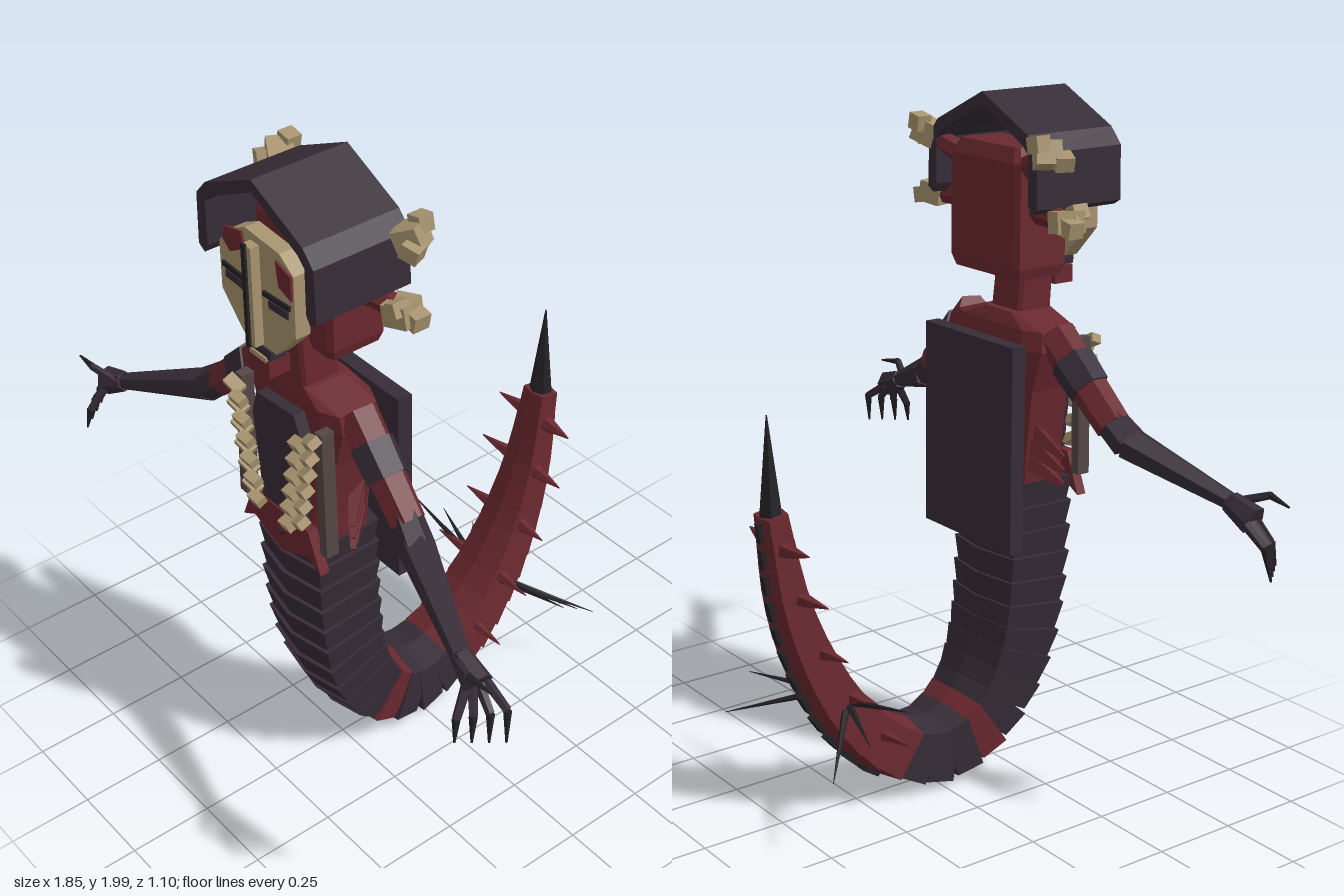
import * as THREE from 'three';

const mat = (name, color) => {
  const m = new THREE.MeshStandardMaterial({ color });
  m.name = name;
  return m;
};
const V = (x, y, z) => new THREE.Vector3(x, y, z);

export function createModel() {
  const root = new THREE.Group();
  root.name = 'serpentFigure';
  const dark = mat('darkHide', 0x372d37);
  const black = mat('blackClaw', 0x252126);
  const red = mat('darkRed', 0x6b2930);
  const bone = mat('bone', 0xa8946f);
  const strap = mat('dullBrown', 0x554746);

  // Faceted mesh helper
  const add = (name, geo, material, parent = root) => {
    const g = geo.index ? geo.toNonIndexed() : geo;
    g.computeVertexNormals();
    const m = new THREE.Mesh(g, material);
    m.name = name;
    parent.add(m);
    return m;
  };
  const box = (name, w, h, d, x, y, z, material, rz = 0, rx = 0, ry = 0) => {
    const m = add(name, new THREE.BoxGeometry(w, h, d), material);
    m.position.set(x, y, z);
    m.rotation.set(rx, ry, rz);
    return m;
  };
  // Tapered rod from a to b
  const rod = (name, a, b, r0, r1, material, sides = 6) => {
    const d = b.clone().sub(a);
    const m = add(name, new THREE.CylinderGeometry(r1, r0, d.length(), sides), material);
    m.position.copy(a).add(b).multiplyScalar(0.5);
    m.quaternion.setFromUnitVectors(V(0, 1, 0), d.normalize());
    return m;
  };
  // Flat outline in the xy plane, given thickness, back face at z
  const plate = (name, pts, z, depth, material) => {
    const s = new THREE.Shape(pts.map(p => new THREE.Vector2(p[0], p[1])));
    const m = add(name, new THREE.ExtrudeGeometry(s, { depth, bevelEnabled: false }), material);
    m.position.z = z;
    return m;
  };
  // Chamfered sections stacked upward: [y, halfWidth, zBack, zFront]
  const loft = (name, rings, material, c = 0.3) => {
    const pos = [], idx = [];
    const n = 8;
    rings.forEach(([y, w, z0, z1]) => {
      const k = 1 - c, zm = (z0 + z1) / 2, h = (z1 - z0) / 2;
      [[k, 1], [1, k], [1, -k], [k, -1], [-k, -1], [-1, -k], [-1, k], [-k, 1]]
        .forEach(([a, b]) => pos.push(a * w, y, zm + b * h));
    });
    for (let r = 0; r < rings.length - 1; r++) for (let i = 0; i < n; i++) {
      const a = r * n + i, b = r * n + (i + 1) % n;
      idx.push(a, b, a + n, b, b + n, a + n);
    }
    const t = (rings.length - 1) * n;
    for (let i = 1; i < n - 1; i++) idx.push(0, i + 1, i, t, t + i, t + i + 1);
    const g = new THREE.BufferGeometry();
    g.setAttribute('position', new THREE.Float32BufferAttribute(pos, 3));
    g.setIndex(idx);
    return add(name, g, material);
  };

  // Tail: x of each control point carries the half depth
  const path = new THREE.CatmullRomCurve3([
    [0.125, 0.9, 0.315], [0.125, 0.6, 0.305], [0.12, 0.38, 0.27], [0.108, 0.2, 0.175],
    [0.1, 0.112, 0.02], [0.09, 0.15, -0.13], [0.082, 0.27, -0.27], [0.07, 0.44, -0.38],
    [0.055, 0.66, -0.465], [0.038, 0.93, -0.513],
  ].map(p => V(...p)));
  const N = 26;
  for (let i = 0; i < N; i++) {
    const a = path.getPointAt(i / N), b = path.getPointAt((i + 1) / N);
    const mid = a.clone().add(b).multiplyScalar(0.5), d = mid.x;
    const g = new THREE.CylinderGeometry(0.93, 1.03, 1, 6);
    const p = g.attributes.position;
    for (let j = 0; j < p.count; j++) {
      const x = p.getX(j), z = p.getZ(j);
      if (Math.abs(x) > 0.1) p.setXYZ(j, x / 0.866, p.getY(j), z * 1.6);
    }
    g.scale(d * 1.08, Math.hypot(b.y - a.y, b.z - a.z) * 1.12, d);
    const isRed = mid.z < -0.12 || (mid.z > 0.06 && mid.z < 0.14);
    const seg = add('tailSegment', g, isRed ? red : dark);
    seg.position.set(0, mid.y, mid.z);
    seg.rotation.x = Math.atan2(b.z - a.z, b.y - a.y);
    // Dark keel along the outer side of the rear tail
    if (mid.z < -0.12) {
      const keel = add('tailKeel', new THREE.BoxGeometry(d * 0.4, 0.06, 0.02), black, seg);
      keel.position.z = -d;
    }
  }
  rod('tailTip', V(0, 0.91, -0.513), V(0, 1.21, -0.52), 0.037, 0.002, black);

  // Torso and neck
  loft('torso', [
    [0.86, 0.13, 0.22, 0.41], [1.0, 0.14, 0.22, 0.40], [1.18, 0.165, 0.215, 0.40],
    [1.3, 0.2, 0.22, 0.40], [1.355, 0.19, 0.23, 0.40], [1.39, 0.08, 0.25, 0.39],
  ], red);
  loft('neck', [[1.36, 0.066, 0.27, 0.39], [1.54, 0.066, 0.29, 0.4]], red, 0.15);
  plate('belly', [[-0.12, 0.88], [0, 0.83], [0.12, 0.88], [0.175, 0.85], [0.125, 0.97], [-0.125, 0.97], [-0.175, 0.85]], 0.41, 0.03, red);
  plate('chestPlate', [[-0.09, 1.31], [0.075, 1.325], [0.11, 1.24], [0.08, 0.95], [-0.08, 0.95], [-0.11, 1.24]], 0.40, 0.035, dark);
  box('backPlate', 0.4, 0.6, 0.045, 0, 1.03, 0.167, dark);

  // Head and hood
  loft('head', [[1.5, 0.145, 0.2, 0.36], [1.53, 0.155, 0.19, 0.37], [1.82, 0.155, 0.19, 0.37], [1.86, 0.13, 0.21, 0.35]], red, 0.12);
  plate('hood', [
    [0, 2.0], [0.2, 1.905], [0.24, 1.86], [0.245, 1.71], [0.22, 1.695], [0.205, 1.72],
    [0.205, 1.85], [0.18, 1.875], [0, 1.965], [-0.18, 1.875], [-0.205, 1.85],
    [-0.205, 1.72], [-0.22, 1.695], [-0.245, 1.71], [-0.24, 1.86], [-0.2, 1.905],
  ], 0.185, 0.293, dark);

  // Face mask
  plate('mask', [
    [-0.1, 1.82], [-0.04, 1.85], [0.1, 1.84], [0.155, 1.8], [0.155, 1.62],
    [0.07, 1.53], [-0.07, 1.53], [-0.155, 1.62], [-0.155, 1.76],
  ], 0.43, 0.045, bone);
  plate('browPatch', [[-0.13, 1.78], [-0.12, 1.82], [-0.05, 1.835], [-0.04, 1.79], [-0.1, 1.755]], 0.474, 0.008, red);
  plate('browPatch', [[0.15, 1.73], [0.15, 1.8], [0.09, 1.82], [0.1, 1.75]], 0.474, 0.008, red);
  box('nose', 0.035, 0.29, 0.03, 0, 1.68, 0.487, bone);
  box('noseRidge', 0.015, 0.3, 0.008, -0.006, 1.68, 0.505, black);
  box('upperLip', 0.1, 0.03, 0.05, 0, 1.515, 0.455, dark);
  box('chin', 0.09, 0.05, 0.065, 0, 1.47, 0.45, red);
  box('teeth', 0.07, 0.015, 0.05, 0, 1.497, 0.46, bone);

  for (const s of [-1, 1]) {
    box('eye', 0.11, 0.014, 0.008, s * 0.085, 1.70, 0.478, black, s * 0.06);
    box('eyeShade', 0.08, 0.022, 0.006, s * 0.09, 1.675, 0.476, dark, s * 0.06);

    // Horns: red stalks with clustered bone ends
    rod('hornStalk', V(s * 0.12, 1.8, 0.24), V(s * 0.255, 1.855, 0.2), 0.035, 0.025, red);
    box('hornBone', 0.07, 0.065, 0.07, s * 0.265, 1.86, 0.2, bone, s * 0.4, 0, s * 0.5);
    box('hornBone', 0.05, 0.04, 0.05, s * 0.3, 1.845, 0.225, bone, s * -0.3, 0, s * 0.4);
    box('hornBone', 0.045, 0.045, 0.045, s * 0.265, 1.89, 0.17, bone, s * 0.2);
    rod('hornStalk', V(s * 0.13, 1.69, 0.27), V(s * 0.28, 1.68, 0.25), 0.04, 0.028, red);
    box('hornBone', 0.07, 0.06, 0.08, s * 0.29, 1.68, 0.25, bone, s * 0.15, 0, s * 0.3);
    box('hornBone', 0.05, 0.045, 0.05, s * 0.325, 1.67, 0.235, bone, s * -0.2);
    box('hornBone', 0.035, 0.04, 0.05, s * 0.305, 1.705, 0.275, bone, s * 0.4);

    // Ribs: paired bone blocks stepping inward down the chest
    for (let i = 0; i < 6; i++) {
      const y = 1.3 - i * 0.06, x = 0.165 - i * 0.012;
      box('rib', 0.055, 0.026, 0.035, s * x, y, 0.45, bone, s * 0.5, 0.4);
      box('ribEnd', 0.045, 0.028, 0.03, s * (x - 0.035), y - 0.02, 0.465, bone, s * 0.15, 0.4);
    }
    box('sideStrap', 0.03, 0.4, 0.04, s * 0.177, 1.12, 0.412, strap, s * 0.02);
    // Red fins at the waist
    for (let i = 0; i < 3; i++)
      rod('waistFin', V(s * 0.12, 1.07 - i * 0.05, 0.27), V(s * 0.19, 0.98 - i * 0.04, 0.34), 0.035, 0.01, red, 4);

    // Arm
    const elbow = V(s * 0.41, 1.13, 0.33), wrist = V(s * 0.75, 0.985, 0.445);
    const shoulder = V(s * 0.18, 1.34, 0.31);
    rod('upperArm', shoulder, elbow, 0.058, 0.05, red);
    rod('armBand', shoulder.clone().lerp(elbow, 0.28), shoulder.clone().lerp(elbow, 0.6), 0.064, 0.06, dark);
    rod('forearm', elbow.clone().lerp(shoulder, 0.08), V(s * 0.46, 1.09, 0.345), 0.045, 0.05, dark);
    rod('forearm', V(s * 0.46, 1.09, 0.345), wrist, 0.05, 0.026, dark);
    rod('hand', wrist, V(s * 0.83, 0.95, 0.455), 0.03, 0.042, dark);

    // Fingers and thumb
    for (let i = 0; i < 4; i++) {
      const z = 0.41 + i * 0.033;
      const knuckle = V(s * (0.905 - i * 0.025), 0.9 - i * 0.008, z + 0.015);
      rod('finger', V(s * 0.81, 0.955, 0.43 + i * 0.014), knuckle, 0.015, 0.012, dark, 5);
      rod('claw', knuckle, V(s * (0.92 - i * 0.027), 0.81, z + 0.028), 0.012, 0.003, black, 5);
    }
    rod('thumb', V(s * 0.75, 0.98, 0.46), V(s * 0.84, 1.015, 0.5), 0.014, 0.011, dark, 5);
    rod('thumbClaw', V(s * 0.84, 1.015, 0.5), V(s * 0.92, 1.005, 0.49), 0.011, 0.003, black, 5);

    // Long tail quills
    [[0.35, 0.43, -0.31], [0.31, 0.34, -0.41], [0.28, 0.25, -0.51]].forEach(([x, y, z]) =>
      rod('tailQuill', V(s * 0.05, 0.35, -0.31), V(s * x, y, z), 0.013, 0.001, black, 5));
    // Short side spikes along the rear tail
    [[0.2, 0.24, -0.2], [0.2, 0.38, -0.3], [0.17, 0.53, -0.385], [0.17, 0.7, -0.445], [0.15, 0.85, -0.49]].forEach(([x, y, z]) =>
      rod('tailSpike', V(s * 0.04, y - 0.01, z - 0.01), V(s * x, y, z), 0.026, 0.002, red, 5));
  }
  return root;
}
